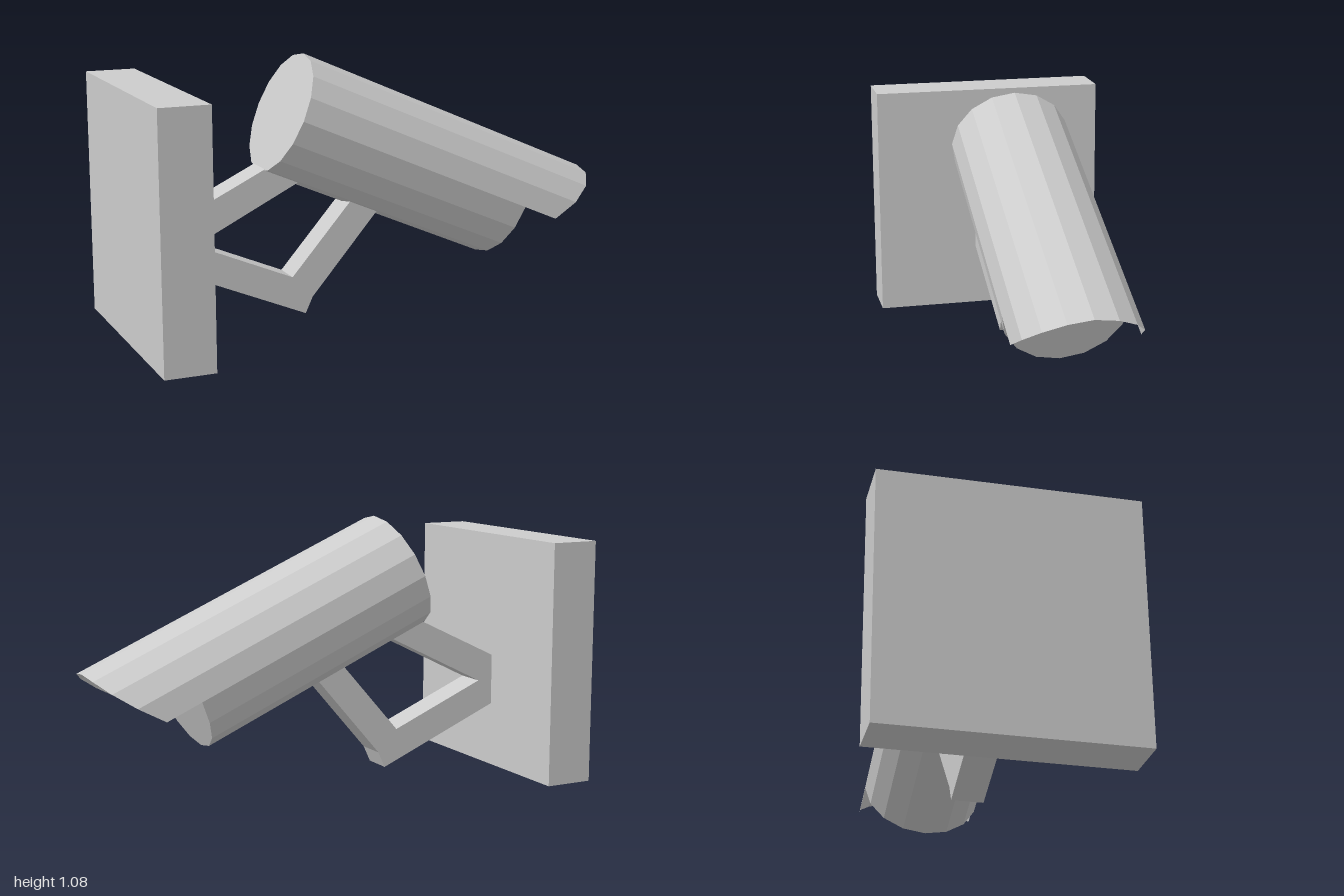
import * as THREE from 'three';

const RADIUS = 0.246;
const BODY_LENGTH = 1.056;
const TILT = THREE.MathUtils.degToRad(23.5);

// Open half-shell over the front of the body, its lip curving back to the sides
function hoodGeometry() {
  const sideReach = [1.212, 1.287, 1.34, 1.367, 1.372];
  const positions = [];
  const index = [];
  for (let i = 0; i <= 8; i++) {
    const a = (i * Math.PI) / 8;
    const y = RADIUS * Math.sin(a);
    const z = RADIUS * Math.cos(a);
    positions.push(BODY_LENGTH, y, z, sideReach[4 - Math.abs(4 - i)], y, z);
    if (i < 8) {
      const k = i * 2;
      index.push(k, k + 1, k + 3, k, k + 3, k + 2);
    }
  }
  const geometry = new THREE.BufferGeometry();
  geometry.setAttribute('position', new THREE.Float32BufferAttribute(positions, 3));
  geometry.setIndex(index);
  geometry.computeVertexNormals();
  return geometry;
}

// Bent two-armed support, arms running slightly into the body
function bracketGeometry() {
  const outline = [
    [-0.8, 0.265], [-0.28, 0.045], [-0.25, 0.11], [0.07, 0.482],
    [-0.05, 0.527], [-0.335, 0.2], [-0.735, 0.37], [-0.29, 0.592],
    [-0.39, 0.675], [-0.45, 0.645], [-0.8, 0.475],
  ].map(([x, y]) => new THREE.Vector2(x, y));
  const geometry = new THREE.ExtrudeGeometry(new THREE.Shape(outline), {
    depth: 0.125,
    bevelEnabled: false,
  });
  return geometry.translate(0, 0, -0.0625);
}

export function createModel() {
  const model = new THREE.Group();
  model.name = 'securityCamera';
  const grey = new THREE.MeshStandardMaterial({ color: 0xcccccc, flatShading: true });
  const thinGrey = grey.clone();
  thinGrey.side = THREE.DoubleSide;

  const add = (parent, name, geometry, material = grey) => {
    const mesh = new THREE.Mesh(geometry, material);
    mesh.name = name;
    parent.add(mesh);
    return mesh;
  };

  // Wall plate
  add(model, 'wallPlate', new THREE.BoxGeometry(0.2, 0.99, 0.99)).position.set(-0.9, 0.495, 0);

  // Bracket
  add(model, 'bracket', bracketGeometry());

  // Camera head, built along +x from its back end and then tilted down
  const head = new THREE.Group();
  head.name = 'cameraHead';
  head.position.set(-0.355, 0.857, 0);
  head.rotation.z = -TILT;
  const body = new THREE.CylinderGeometry(RADIUS, RADIUS, BODY_LENGTH, 16);
  body.rotateZ(-Math.PI / 2).translate(BODY_LENGTH / 2, 0, 0);
  add(head, 'body', body);
  add(head, 'hood', hoodGeometry(), thinGrey);
  model.add(head);

  return model;
}
